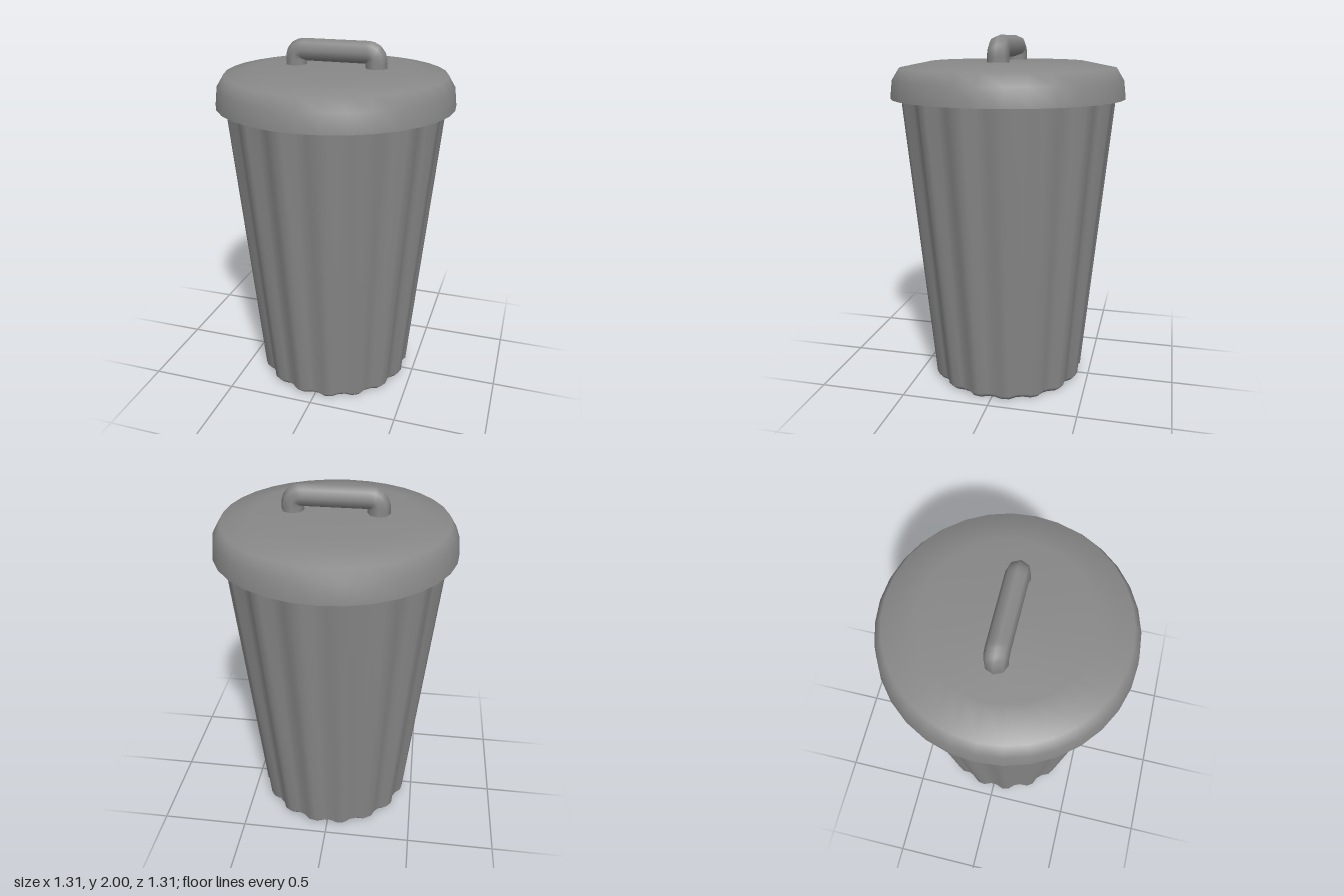
import * as THREE from 'three';
import { mergeVertices } from 'three/addons/utils/BufferGeometryUtils.js';

const profile = (pts) => pts.map(([r, y]) => new THREE.Vector2(r, y));

// Weld a geometry and give it smooth normals across the seam
function smooth(geometry) {
  geometry.deleteAttribute('uv');
  geometry.deleteAttribute('normal');
  const welded = mergeVertices(geometry, 1e-4);
  welded.computeVertexNormals();
  return welded;
}

// Tapered can with sixteen vertical flutes
function flutedBody() {
  const flutes = 16, segments = flutes * 4;
  const geometry = new THREE.LatheGeometry(
    profile([[0, 0], [0.42, 0], [0.447, 0.03], [0.605, 1.67]]),
    segments, Math.PI / segments);
  const p = geometry.attributes.position;
  for (let i = 0; i < p.count; i++) {
    const x = p.getX(i), z = p.getZ(i);
    const ridge = Math.cos(flutes * Math.atan2(x, z)) < 0;
    const k = ridge ? 1 : 0.95;
    p.setX(i, x * k);
    p.setZ(i, z * k);
  }
  return smooth(geometry);
}

// Handle path: up, across and down, with tight bends
function handlePath() {
  const x = 0.226, top = 1.94, bend = 0.05, foot = 1.82;
  const v = (a, b) => new THREE.Vector3(a, b, 0);
  const path = new THREE.CurvePath();
  path.add(new THREE.LineCurve3(v(-x, foot), v(-x, top - bend)));
  path.add(new THREE.QuadraticBezierCurve3(v(-x, top - bend), v(-x, top), v(-x + bend, top)));
  path.add(new THREE.LineCurve3(v(-x + bend, top), v(x - bend, top)));
  path.add(new THREE.QuadraticBezierCurve3(v(x - bend, top), v(x, top), v(x, top - bend)));
  path.add(new THREE.LineCurve3(v(x, top - bend), v(x, foot)));
  return path;
}

export function createModel() {
  const group = new THREE.Group();
  const metal = new THREE.MeshStandardMaterial({ color: 0x888888 });
  metal.name = 'grey metal';

  const add = (name, geometry) => {
    const mesh = new THREE.Mesh(geometry, metal);
    mesh.name = name;
    group.add(mesh);
    return mesh;
  };

  add('body', flutedBody());

  // Domed lid with a deep rim
  add('lid', smooth(new THREE.LatheGeometry(
    profile([[0.657, 1.66], [0.645, 1.76], [0.605, 1.825], [0.43, 1.86], [0, 1.86]]), 32)));

  // Flat underside of the lid
  const underside = add('lidUnderside', new THREE.CircleGeometry(0.657, 32));
  underside.rotation.x = Math.PI / 2;
  underside.position.y = 1.66;

  add('handle', new THREE.TubeGeometry(handlePath(), 40, 0.06, 8, false));

  return group;
}
